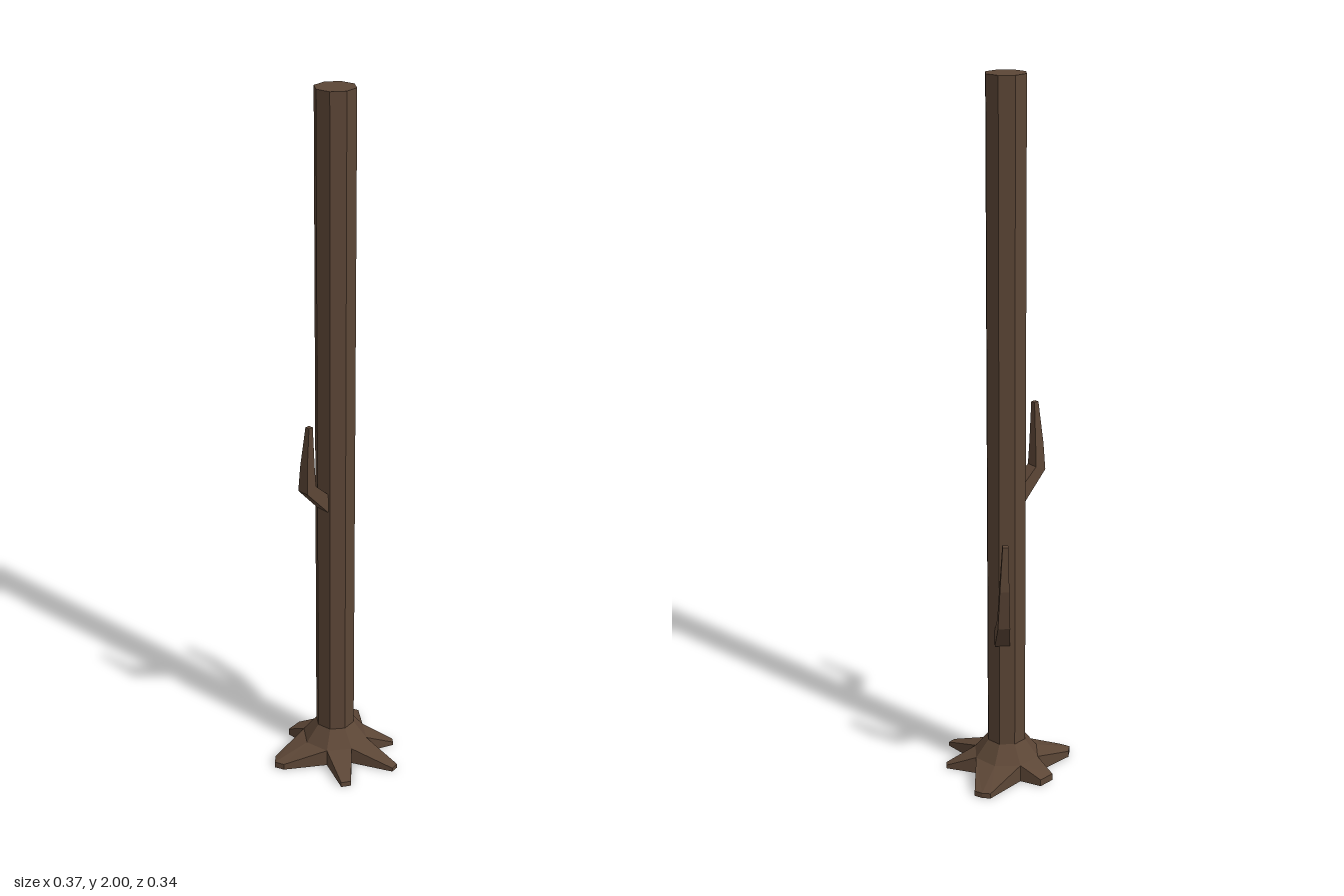
import * as THREE from 'three';

const CX = 0.02, CZ = -0.024; // trunk axis
const R_TRUNK = 0.057, R_FLARE = 0.096, Y_FLARE = 0.05, Y_TRUNK = 0.1;

// Flat-shaded geometry from a list of quads, each four Vector3 corners
function quadGeometry(quads) {
  const pos = [];
  for (const [a, b, c, d] of quads) for (const p of [a, b, c, a, c, d]) pos.push(p.x, p.y, p.z);
  const g = new THREE.BufferGeometry();
  g.setAttribute('position', new THREE.Float32BufferAttribute(pos, 3));
  g.computeVertexNormals();
  return g;
}

// Root growing from consecutive flare corners (starting at index i) to tip points [x, z]
function rootGeometry(i, tips, tipY) {
  const floor = (p) => new THREE.Vector3(p.x, 0, p.z);
  const a = tips.map((_, k) => {
    const t = (i + k) * Math.PI / 4;
    return new THREE.Vector3(CX + R_FLARE * Math.cos(t), Y_FLARE, CZ + R_FLARE * Math.sin(t));
  });
  const t = tips.map(([x, z]) => new THREE.Vector3(x, tipY, z));
  const n = tips.length - 1, quads = [];
  for (let k = 0; k < n; k++) {
    quads.push([t[k], a[k], a[k + 1], t[k + 1]]); // top
    quads.push([floor(t[k]), t[k], t[k + 1], floor(t[k + 1])]); // end
    quads.push([floor(t[k + 1]), floor(a[k + 1]), floor(a[k]), floor(t[k])]); // underside
  }
  quads.push([a[0], t[0], floor(t[0]), floor(a[0])]);
  quads.push([floor(a[n]), floor(t[n]), t[n], a[n]]);
  return quadGeometry(quads);
}

// Tapering four-sided branch along points [x, y, z, halfWidth]
function branchGeometry(path) {
  const pts = path.map(([x, y, z]) => new THREE.Vector3(x, y, z));
  const last = pts.length - 1;
  const out = pts[1].clone().sub(pts[0]).setY(0).normalize();
  const side = new THREE.Vector3(0, 1, 0).cross(out);
  const rings = pts.map((p, i) => {
    const dir = new THREE.Vector3();
    if (i > 0) dir.add(p.clone().sub(pts[i - 1]).normalize());
    if (i < last) dir.add(pts[i + 1].clone().sub(p).normalize());
    const up = dir.normalize().clone().cross(side).normalize();
    const w = path[i][3];
    return [[1, 1], [-1, 1], [-1, -1], [1, -1]].map(([s, u]) =>
      p.clone().addScaledVector(side, s * w).addScaledVector(up, u * w));
  });
  const quads = [rings[last]];
  for (let i = 0; i < last; i++) for (let k = 0; k < 4; k++) {
    const m = (k + 1) % 4;
    quads.push([rings[i][k], rings[i][m], rings[i + 1][m], rings[i + 1][k]]);
  }
  return quadGeometry(quads);
}

export function createModel() {
  const group = new THREE.Group();
  const bark = new THREE.MeshStandardMaterial({ color: 0x5c4636, flatShading: true, side: THREE.DoubleSide });
  bark.name = 'brown bark';
  const add = (name, geometry, x = 0, y = 0, z = 0) => {
    const mesh = new THREE.Mesh(geometry, bark);
    mesh.name = name;
    mesh.position.set(x, y, z);
    group.add(mesh);
  };

  // Trunk with a flared foot
  const h = 2 - Y_TRUNK;
  add('trunk', new THREE.CylinderGeometry(R_TRUNK, R_TRUNK, h, 8), CX, Y_TRUNK + h / 2, CZ);
  const fh = Y_TRUNK - Y_FLARE;
  add('trunkFlare', new THREE.CylinderGeometry(R_TRUNK, R_FLARE, fh, 8, 1, true), CX, Y_FLARE + fh / 2, CZ);
  add('trunkUnderside', new THREE.CircleGeometry(R_FLARE, 8).rotateX(Math.PI / 2), CX, 0, CZ);

  // Roots: first flare corner, tip corners, tip height
  const roots = [
    [0, [[0.183, 0.038], [0.175, 0.055]], 0.01],
    [1, [[0.123, 0.16], [0.1, 0.17]], 0.012],
    [2, [[-0.04, 0.168], [-0.068, 0.16]], 0.015],
    [3, [[-0.168, 0], [-0.185, -0.024], [-0.168, -0.05]], 0.018],
    [5, [[-0.066, -0.152], [-0.02, -0.17]], 0.02],
    [6, [[0.138, -0.173], [0.158, -0.16], [0.172, -0.14]], 0.015],
  ];
  roots.forEach(([i, tips, y], k) => add(`root${k + 1}`, rootGeometry(i, tips, y)));

  // Two bent branches
  add('upperBranch', branchGeometry([
    [-0.015, 0.83, -0.012, 0.021], [-0.087, 0.902, 0.006, 0.018],
    [-0.087, 0.97, 0.008, 0.014], [-0.085, 1.09, 0.015, 0.007]]));
  add('lowerBranch', branchGeometry([
    [0.048, 0.425, -0.055, 0.021], [0.074, 0.505, -0.124, 0.017],
    [0.084, 0.62, -0.15, 0.013], [0.083, 0.75, -0.155, 0.008]]));
  return group;
}
